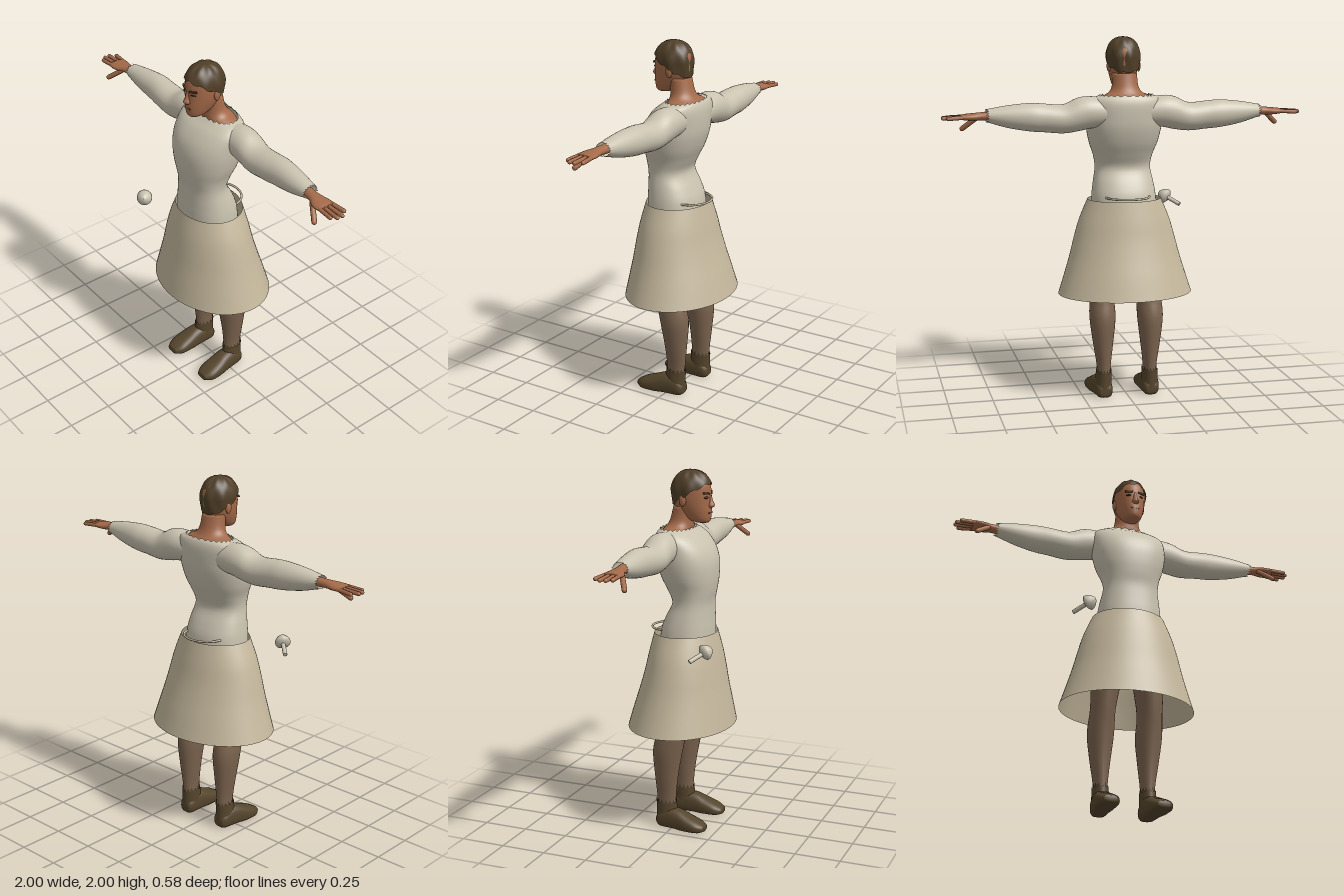
import * as THREE from 'three';
import { ParametricGeometry } from 'three/addons/geometries/ParametricGeometry.js';

const mat = (name, color, side = THREE.FrontSide) => {
  const m = new THREE.MeshStandardMaterial({ color, side });
  m.name = name;
  return m;
};

// Smooth skin over elliptical sections [t, centreA, centreB, radiusA, radiusB].
// Axis order (a, t, b) is x,y,z for 'y'; z,x,y for 'x'; y,z,x for 'z'.
function loft(rows, { axis = 'y', sides = 32, steps = 4, power = 1, jag = 0, cap = true, floor = null } = {}) {
  const at = (i) => rows[Math.max(0, Math.min(rows.length - 1, i))];
  const rings = [];
  for (let i = 0; i < rows.length - 1; i++) {
    for (let s = 0; s < steps; s++) {
      const u = s / steps;
      rings.push(rows[i].map((_, k) => {
        const [p, q, r, w] = [at(i - 1)[k], at(i)[k], at(i + 1)[k], at(i + 2)[k]];
        return q + 0.5 * u * (r - p + u * (2 * p - 5 * q + 4 * r - w + u * (3 * (q - r) + w - p)));
      }));
    }
  }
  rings.push(rows[rows.length - 1]);
  const pos = [], index = [];
  const put = (a, t, b) => {
    const v = axis === 'y' ? [a, t, b] : axis === 'x' ? [t, b, a] : [b, a, t];
    if (floor !== null) v[1] = Math.max(floor, v[1]);
    pos.push(...v);
  };
  const bend = (c) => Math.sign(c) * Math.abs(c) ** power;
  rings.forEach(([t, ca, cb, ra, rb], i) => {
    for (let j = 0; j < sides; j++) {
      const th = (j / sides) * Math.PI * 2;
      const ragged = i === rings.length - 1 ? (j % 2 ? jag : -jag) : 0;
      put(ca + ra * bend(Math.cos(th)), t + ragged, cb + rb * bend(Math.sin(th)));
    }
  });
  for (let i = 0; i < rings.length - 1; i++) {
    for (let j = 0; j < sides; j++) {
      const a = i * sides + j, b = i * sides + ((j + 1) % sides);
      index.push(a, a + sides, b, b, a + sides, b + sides);
    }
  }
  if (cap) {
    [0, rings.length - 1].forEach((i) => {
      const c = pos.length / 3;
      put(rings[i][1], rings[i][0], rings[i][2]);
      for (let j = 0; j < sides; j++) {
        const a = i * sides + j, b = i * sides + ((j + 1) % sides);
        if (i === 0) index.push(c, a, b); else index.push(c, b, a);
      }
    });
  }
  const g = new THREE.BufferGeometry();
  g.setAttribute('position', new THREE.Float32BufferAttribute(pos, 3));
  g.setIndex(index);
  g.computeVertexNormals();
  return g;
}

export function createModel() {
  const root = new THREE.Group();
  root.name = 'figure';
  const cloth = mat('tunic cloth', 0xc9c2af, THREE.DoubleSide);
  const skirtCloth = mat('skirt cloth', 0xc4b79c, THREE.DoubleSide);
  const skin = mat('skin', 0xa46a49);
  const hose = mat('leg hose', 0x7b634e);
  const leather = mat('shoe leather', 0x55452c, THREE.DoubleSide);
  const hairMat = mat('hair', 0x503f28, THREE.DoubleSide);
  const dark = mat('eye dark', 0x2c2018);
  const lip = mat('lips', 0x7c4633);

  const add = (name, geo, material, parent = root, p = [0, 0, 0]) => {
    const m = new THREE.Mesh(geo, material);
    m.name = name;
    m.position.set(...p);
    parent.add(m);
    return m;
  };
  // Rounded rod between two points
  const rod = (name, a, b, r, material, parent) => {
    const A = new THREE.Vector3(...a), B = new THREE.Vector3(...b), d = B.clone().sub(A);
    const m = add(name, new THREE.CapsuleGeometry(r, d.length() - r, 4, 10), material, parent);
    m.position.copy(A).add(B).multiplyScalar(0.5);
    m.quaternion.setFromUnitVectors(new THREE.Vector3(0, 1, 0), d.normalize());
    return m;
  };

  // Tunic body and skirt
  add('tunic', loft([
    [1.04, 0, 0.03, 0.183, 0.145], [1.13, 0, 0.035, 0.178, 0.14], [1.2, 0, 0.047, 0.168, 0.125],
    [1.28, 0, 0.065, 0.155, 0.106], [1.35, 0, 0.058, 0.165, 0.126], [1.42, 0, 0.045, 0.19, 0.147],
    [1.5, 0, 0.032, 0.207, 0.158], [1.57, 0, 0.018, 0.212, 0.15], [1.63, 0, -0.004, 0.212, 0.127],
    [1.665, 0, -0.022, 0.19, 0.1], [1.682, 0, -0.026, 0.145, 0.084],
  ], { sides: 48, power: 0.88, jag: 0.006, cap: false }), cloth);
  add('skirt', loft([
    [0.585, 0, 0, 0.375, 0.29], [0.7, 0, 0.006, 0.338, 0.263], [0.8, 0, 0.012, 0.308, 0.238],
    [0.9, 0, 0.018, 0.282, 0.216], [1.0, 0, 0.02, 0.252, 0.196], [1.11, 0, 0.02, 0.205, 0.17],
  ], { sides: 56, cap: false }), skirtCloth);

  // Loose waist ring behind the back
  const ring = add('waistRing', new THREE.TorusGeometry(0.11, 0.006, 8, 48), skirtCloth, root, [0, 1.127, -0.062]);
  ring.rotation.x = Math.PI / 2;
  ring.scale.x = 1.1;

  // Floating acorn-shaped club
  const club = new THREE.Group();
  club.name = 'club';
  club.position.set(-0.298, 1.075, 0.243);
  club.quaternion.setFromUnitVectors(new THREE.Vector3(0, 1, 0), new THREE.Vector3(0.07, 0.042, 0.06).normalize());
  root.add(club);
  const headProfile = [[0, -0.018], [0.025, -0.016], [0.043, -0.004], [0.042, 0.01], [0.03, 0.03], [0.014, 0.044], [0, 0.048]];
  add('clubHead', new THREE.LatheGeometry(headProfile.map((p) => new THREE.Vector2(...p)), 24), cloth, club);
  add('clubShaft', new THREE.CylinderGeometry(0.012, 0.012, 0.09, 14), cloth, club, [0, -0.052, 0]);

  // Neck and head
  add('neck', loft([
    [1.63, 0, -0.022, 0.18, 0.1], [1.672, 0, -0.024, 0.142, 0.08], [1.695, 0, -0.014, 0.095, 0.07],
    [1.73, 0, -0.004, 0.073, 0.063], [1.8, 0, 0.01, 0.068, 0.06],
  ]), skin);
  add('head', loft([
    [1.715, 0, 0.11, 0.03, 0.036], [1.73, 0, 0.095, 0.049, 0.062], [1.77, 0, 0.07, 0.067, 0.092],
    [1.82, 0, 0.053, 0.08, 0.107], [1.87, 0, 0.05, 0.084, 0.109], [1.92, 0, 0.047, 0.084, 0.105],
    [1.96, 0, 0.045, 0.066, 0.08], [1.98, 0, 0.045, 0.03, 0.04],
  ]), skin);
  add('nose', loft([
    [1.793, 0, 0.155, 0.012, 0.01], [1.807, 0, 0.157, 0.02, 0.025],
    [1.83, 0, 0.155, 0.013, 0.018], [1.868, 0, 0.15, 0.009, 0.011],
  ], { sides: 16 }), skin);
  add('mouth', new THREE.BoxGeometry(0.046, 0.008, 0.008), lip, root, [0, 1.768, 0.158]);
  for (const s of [1, -1]) {
    const brow = add('eyebrow', new THREE.BoxGeometry(0.045, 0.01, 0.009), hairMat, root, [s * 0.037, 1.874, 0.15]);
    brow.rotation.set(0, s * 0.4, s * 0.12);
    const eye = add('eye', new THREE.SphereGeometry(1, 14, 10), dark, root, [s * 0.035, 1.852, 0.147]);
    eye.scale.set(0.016, 0.006, 0.006);
    eye.rotation.y = s * 0.4;
    const ear = add('ear', new THREE.SphereGeometry(1, 14, 10), skin, root, [s * 0.083, 1.837, 0.03]);
    ear.scale.set(0.011, 0.032, 0.02);
  }

  // Wavy short hair, high at the brow and low at the nape
  add('hair', new ParametricGeometry((u, v, out) => {
    const f = u * Math.PI * 2, c = Math.cos(f);
    const p = v * (1.2 + 0.6 * (1 - c) + 0.06 * Math.sin(9 * f));
    const wave = 1 + 0.035 * Math.sin(8 * f) * Math.sin(p) * Math.sin(3 * p);
    const r = (p < Math.PI / 2 ? Math.sin(p) ** 0.9 : 1 - 0.1 * (p - Math.PI / 2)) * wave;
    out.set(-0.096 * r * Math.sin(f), 1.885 + 0.111 * Math.cos(p) * wave, 0.045 + (0.108 + 0.013 * Math.max(0, c)) * r * c);
  }, 72, 24), hairMat);

  // Arms, hands, legs and shoes, mirrored
  for (const s of [1, -1]) {
    const side = new THREE.Group();
    side.name = s > 0 ? 'leftLimbs' : 'rightLimbs';
    side.scale.x = s;
    root.add(side);

    add('sleeve', loft([
      [0.1, -0.03, 1.59, 0.08, 0.075], [0.2, -0.035, 1.593, 0.085, 0.087], [0.27, -0.034, 1.582, 0.085, 0.09],
      [0.35, -0.031, 1.56, 0.083, 0.078], [0.45, -0.03, 1.567, 0.077, 0.077], [0.53, -0.033, 1.573, 0.072, 0.076],
      [0.65, -0.027, 1.578, 0.06, 0.06], [0.76, -0.022, 1.585, 0.042, 0.034],
    ], { axis: 'x', jag: 0.008, cap: false }), cloth, side);
    add('hand', loft([
      [0.7, -0.02, 1.583, 0.03, 0.026], [0.79, -0.012, 1.581, 0.031, 0.022], [0.84, -0.006, 1.578, 0.048, 0.02],
      [0.88, -0.006, 1.578, 0.052, 0.016], [0.9, -0.006, 1.578, 0.046, 0.011],
    ], { axis: 'x', sides: 20 }), skin, side);
    [[-0.043, -0.055, 0.972], [-0.019, -0.021, 0.996], [0.006, 0.01, 0.994], [0.031, 0.036, 0.972]].forEach(([z0, z1, x]) =>
      rod('finger', [0.87, 1.579, z0], [x, 1.574, z1], 0.011, skin, side));
    rod('thumb', [0.81, 1.572, 0.012], [0.888, 1.507, 0.062], 0.014, skin, side);

    add('leg', loft([
      [0.06, 0.132, -0.045, 0.036, 0.05], [0.17, 0.132, -0.045, 0.038, 0.055], [0.3, 0.135, -0.044, 0.055, 0.067],
      [0.45, 0.136, -0.035, 0.072, 0.085], [0.58, 0.133, -0.006, 0.068, 0.085], [0.75, 0.12, 0.01, 0.083, 0.1],
      [0.95, 0.1, 0.02, 0.095, 0.115], [1.06, 0.088, 0.025, 0.085, 0.115],
    ], { sides: 28 }), hose, side);
    add('shoe', loft([
      [-0.1, 0.035, 0.132, 0.022, 0.028], [-0.08, 0.04, 0.133, 0.046, 0.044], [-0.03, 0.05, 0.136, 0.062, 0.05],
      [0.03, 0.045, 0.14, 0.062, 0.054], [0.09, 0.032, 0.144, 0.05, 0.06], [0.15, 0.022, 0.145, 0.035, 0.058],
      [0.19, 0.018, 0.145, 0.016, 0.034],
    ], { axis: 'z', sides: 28, power: 0.8, floor: 0 }), leather, side);
    add('shoeCuff', loft([
      [0.04, 0.134, -0.04, 0.048, 0.062], [0.09, 0.133, -0.042, 0.045, 0.06], [0.15, 0.132, -0.045, 0.043, 0.06],
    ], { jag: 0.013, cap: false }), leather, side);
  }
  return root;
}
